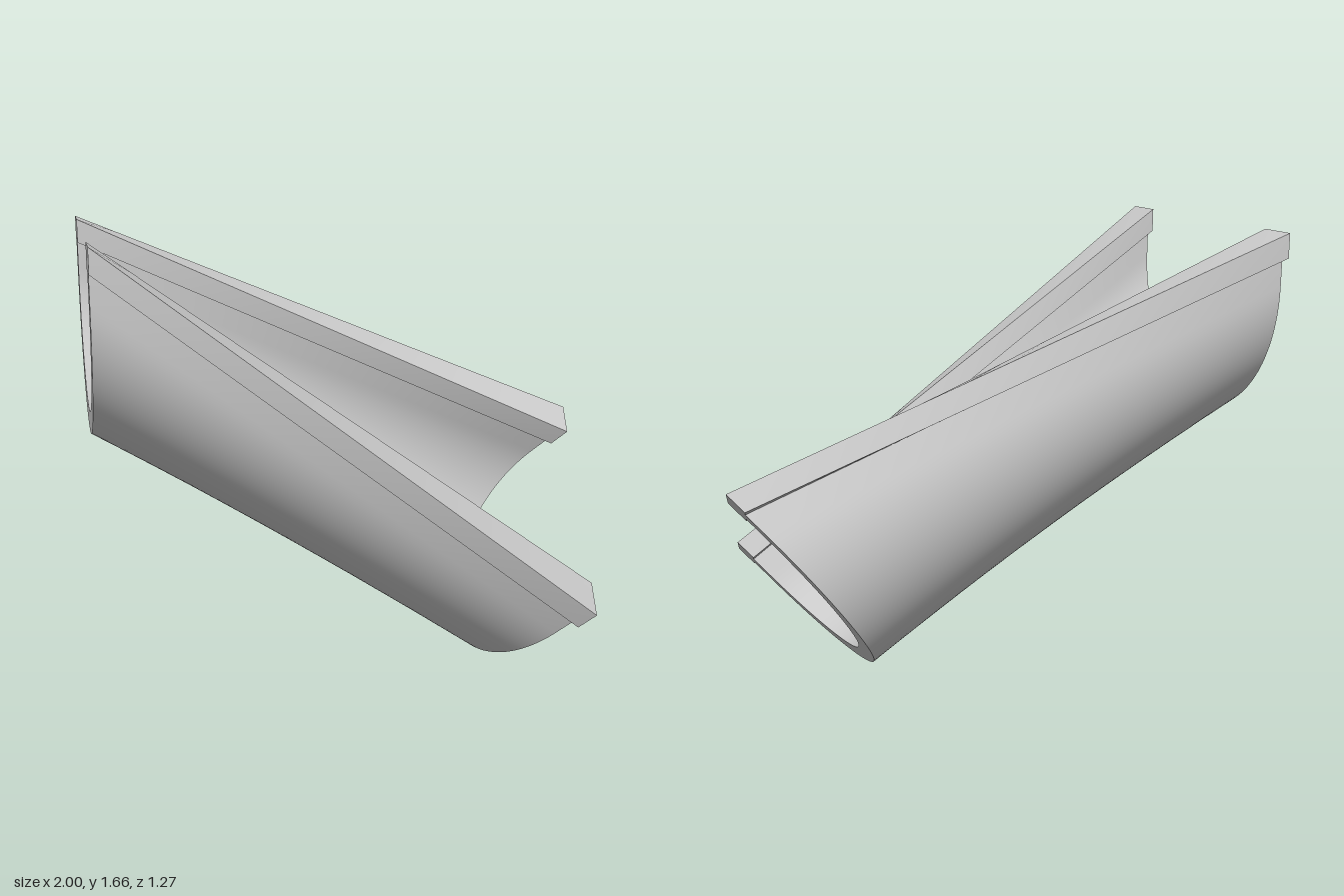
import * as THREE from 'three';
import { toCreasedNormals } from 'three/addons/utils/BufferGeometryUtils.js';

const V = (x, y, z) => new THREE.Vector3(x, y, z);

// End frames: middle of the opening, direction across it, direction up out of it
const START = { mid: V(-1, 1.67, -0.05), across: V(0, 0, -1), up: V(0, 1, 0) };
const END = { mid: V(0.88, 0.572, 0.13), across: V(0.205, 0.466, -0.863), up: V(0.59, 0.65, 0.48) };

// U-shaped wall with a square rim on each side
function channelSection() {
  const rimOut = 0.585, rimIn = 0.425, rimDrop = -0.09;
  const wallOut = 0.545, wallIn = 0.465, centre = -0.195;
  const s = new THREE.Shape();
  s.moveTo(-rimOut, 0);
  s.lineTo(-rimOut, rimDrop);
  s.lineTo(-wallOut, rimDrop);
  s.absarc(0, centre, wallOut, Math.PI, 2 * Math.PI, false);
  s.lineTo(wallOut, rimDrop);
  s.lineTo(rimOut, rimDrop);
  s.lineTo(rimOut, 0);
  s.lineTo(rimIn, 0);
  s.lineTo(rimIn, rimDrop);
  s.lineTo(wallIn, rimDrop);
  s.absarc(0, centre, wallIn, 0, -Math.PI, true);
  s.lineTo(-wallIn, rimDrop);
  s.lineTo(-rimIn, rimDrop);
  s.lineTo(-rimIn, 0);
  s.closePath();
  return s;
}

export function createModel() {
  const geometry = new THREE.ExtrudeGeometry(channelSection(), {
    depth: 1, steps: 12, curveSegments: 24, bevelEnabled: false,
  });

  // Place the section in each end frame and run straight lines between the two
  const pos = geometry.attributes.position;
  const place = (f, a, u) => f.mid.clone().addScaledVector(f.across, a).addScaledVector(f.up, u);
  for (let i = 0; i < pos.count; i++) {
    const a = pos.getX(i), u = pos.getY(i), t = pos.getZ(i);
    const p = place(START, a, u).lerp(place(END, a, u), t);
    pos.setXYZ(i, p.x, p.y, p.z);
  }

  const channel = new THREE.Mesh(
    toCreasedNormals(geometry, 0.5),
    new THREE.MeshStandardMaterial({ color: 0xcccccc }),
  );
  channel.name = 'twistedChannel';

  const model = new THREE.Group();
  model.name = 'slideSegment';
  model.add(channel);
  return model;
}
